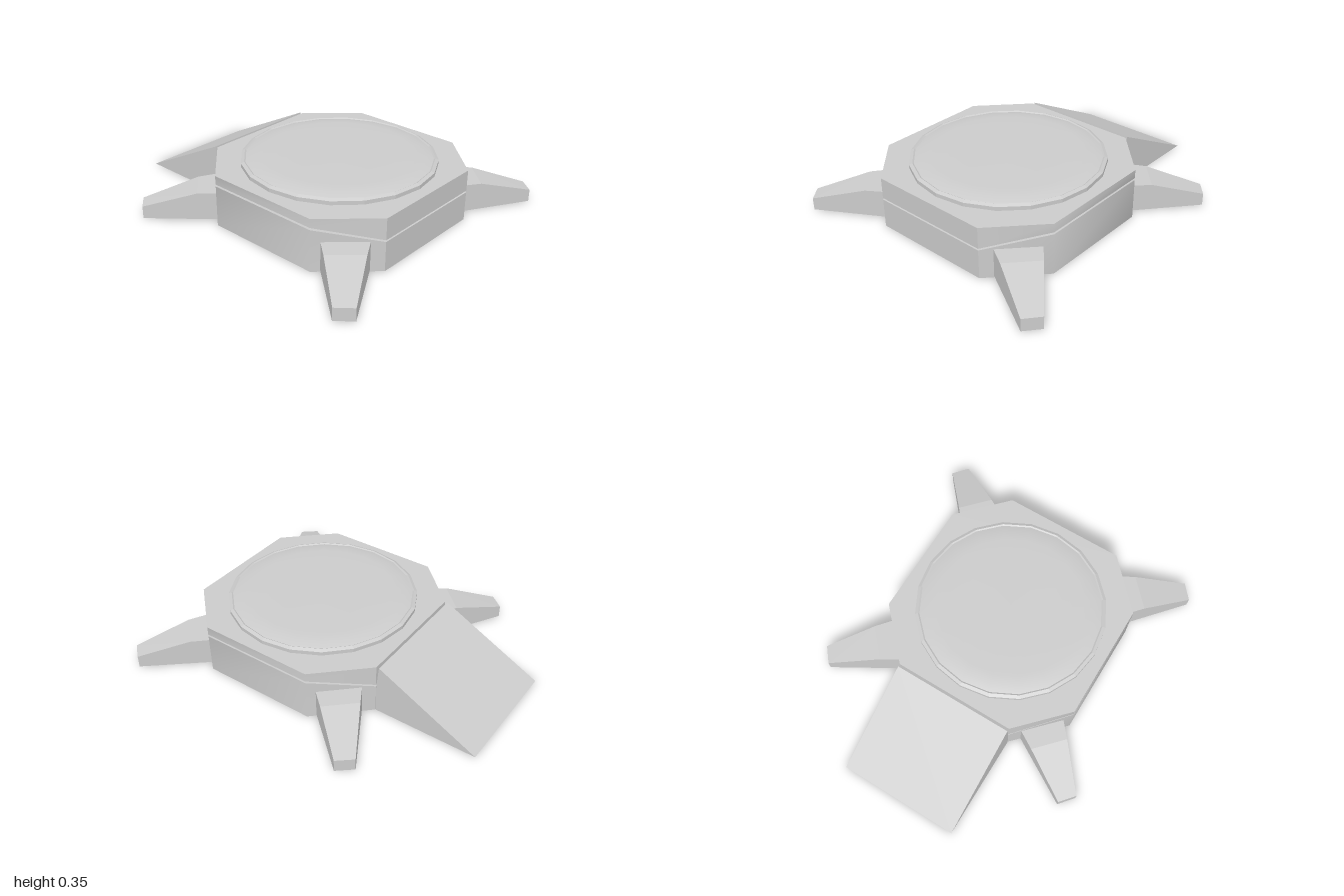
import * as THREE from 'three';
import { toCreasedNormals } from 'three/addons/utils/BufferGeometryUtils.js';

const flat = new THREE.MeshStandardMaterial({ color: 0xcccccc, flatShading: true, side: THREE.DoubleSide });
const smooth = new THREE.MeshStandardMaterial({ color: 0xcccccc, side: THREE.DoubleSide });
const CX = 0.2225; // centre of the octagonal body
const CORE = 0.86; // size of the inner core relative to the hull

// Skin a list of equal-length closed loops; cap the last one if asked
function loft(loops, cap = false) {
  const pos = [];
  const tri = (a, b, c) => pos.push(...a, ...b, ...c);
  for (let k = 0; k + 1 < loops.length; k++) {
    const a = loops[k], b = loops[k + 1], n = a.length;
    for (let i = 0; i < n; i++) {
      const j = (i + 1) % n;
      tri(a[i], a[j], b[j]);
      tri(a[i], b[j], b[i]);
    }
  }
  if (cap) {
    const l = loops[loops.length - 1];
    for (let i = 1; i + 1 < l.length; i++) tri(l[0], l[i], l[i + 1]);
  }
  const g = new THREE.BufferGeometry();
  g.setAttribute('position', new THREE.Float32BufferAttribute(pos, 3));
  g.computeVertexNormals();
  return g;
}

// Octagon loop, counter-clockwise from above; its height can differ on the x and z sides
function octagon(scale, ySide, yFront = ySide) {
  const corners = [
    [0.6125, 0.356], [0.6125, -0.356], [0.342, -0.6125], [-0.342, -0.6125],
    [-0.6125, -0.356], [-0.6125, 0.356], [-0.342, 0.6125], [0.342, 0.6125],
  ];
  return corners.map(([x, z]) => [CX + x * scale, Math.abs(z) > 0.5 ? yFront : ySide, z * scale]);
}

function add(parent, name, geometry, material = flat) {
  const mesh = new THREE.Mesh(geometry, material);
  mesh.name = name;
  parent.add(mesh);
}

export function createModel() {
  const model = new THREE.Group();
  model.name = 'launchPad';

  // Open-bottomed lower wall and the lid, split by a bent seam, around an inner core
  const crease = (g) => toCreasedNormals(g, Math.PI / 4);
  add(model, 'lowerHull', crease(loft([
    octagon(1, 0), octagon(1, 0.168, 0.238), octagon(CORE, 0.168, 0.238),
  ])), smooth);
  add(model, 'lid', crease(loft([
    octagon(CORE, 0.178, 0.25), octagon(1, 0.178, 0.25), octagon(1, 0.3),
  ], true)), smooth);
  add(model, 'core', loft([octagon(CORE, 0.27), octagon(CORE, 0.018)], true));

  // Rim and gently domed pad
  const lathe = (points) =>
    new THREE.LatheGeometry(points.map(([r, y]) => new THREE.Vector2(r, y)), 20).translate(CX, 0, 0);
  add(model, 'rim', lathe([[0.548, 0.298], [0.548, 0.322], [0.53, 0.331], [0.522, 0.326]]));
  add(model, 'pad', lathe([[0.522, 0.326], [0.48, 0.337], [0.42, 0.343], [0.28, 0.345], [0, 0.346]]), smooth);

  // Hollow access ramp
  const rampLoop = (z) => [[-1, 0, z], [-0.406, 0.3, z], [-0.392, 0.17, z], [-0.392, 0, z]];
  const ramp = new THREE.Group();
  ramp.name = 'ramp';
  const front = rampLoop(0.356), back = rampLoop(-0.356);
  add(ramp, 'rampDeck', loft(front.map((p, i) => [p, back[i]])));
  for (const side of [front, back]) add(ramp, 'rampSide', loft([side], true));
  model.add(ramp);

  // Four hollow tapered legs on the chamfered corners
  const outer = [[0.777, 0.778], [0.694, 0.848]]; // tip corners, relative to the body centre
  const inner = [[0.557, 0.405], [0.377, 0.575]]; // root corners
  for (const sx of [1, -1]) {
    for (const sz of [1, -1]) {
      const place = (t, y) => outer.map(([x, z], i) =>
        [CX + sx * (x + (inner[i][0] - x) * t), y, sz * (z + (inner[i][1] - z) * t)]);
      const section = (t, top) => {
        const [a, b] = place(t, 0.008);
        const [c, d] = place(t, top);
        return [a, c, d, b];
      };
      const tip = section(0, 0.08), knee = section(0.73, 0.166), root = section(1, 0.17);
      const leg = new THREE.Group();
      leg.name = (sz > 0 ? 'front' : 'back') + (sx > 0 ? 'Left' : 'Right') + 'Leg';
      // Side, top, side strips; the underside stays open
      for (let i = 0; i < 3; i++) {
        add(leg, i === 1 ? 'legTop' : 'legSide', loft([tip, knee, root].map((s) => [s[i], s[i + 1]])));
      }
      add(leg, 'legTip', loft([tip], true));
      model.add(leg);
    }
  }
  return model;
}
